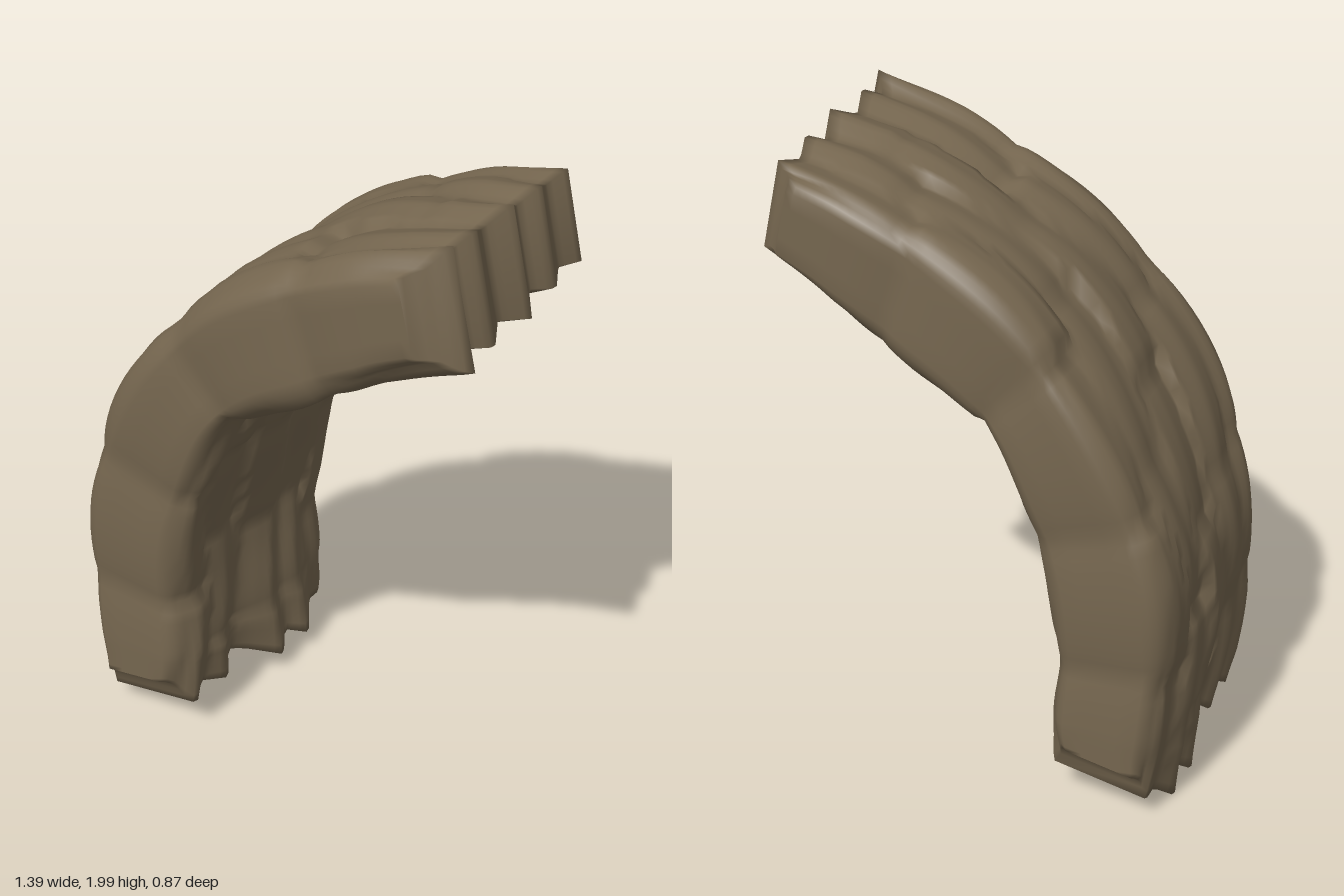
import * as THREE from 'three';

const COURSES = 5, PITCH = 0.18, HALF_Z = 0.434, STEPS = 64;

// small repeatable hash in -1..1
function hash(a, b) {
  const s = Math.sin(a * 127.1 + b * 311.7 + 4.3) * 43758.5453;
  return (s - Math.floor(s)) * 2 - 1;
}
const curve = (pts) => new THREE.CatmullRomCurve3(pts.map(([x, y]) => new THREE.Vector3(x, y, 0)));

// outer and inner edges of the curved slab
const outer = curve([[-0.615, 0.05], [-0.65, 0.3], [-0.668, 0.6], [-0.645, 0.86], [-0.545, 1.14],
  [-0.37, 1.42], [-0.16, 1.645], [0.08, 1.8], [0.33, 1.91], [0.605, 1.985]]);
const inner = curve([[-0.265, 0.11], [-0.268, 0.32], [-0.28, 0.56], [-0.255, 0.78], [-0.18, 1.0],
  [-0.09, 1.2], [0.045, 1.33], [0.22, 1.43], [0.42, 1.55], [0.68, 1.66]]);

// ragged rows of stones at the foot and at the tip: z, projection
const FOOT = [[-0.435, -0.14], [-0.38, -0.03], [-0.31, -0.03], [-0.22, 0.04], [-0.14, -0.01], [-0.07, 0.04],
  [0.05, -0.04], [0.11, -0.07], [0.18, -0.01], [0.28, -0.05], [0.35, -0.01], [0.4, -0.07], [0.435, -0.13]];
const TIP = [[-0.435, -0.11], [-0.36, -0.035], [-0.27, -0.06], [-0.18, -0.02], [-0.1, -0.06], [0, 0],
  [0.1, -0.045], [0.2, 0], [0.28, -0.04], [0.34, 0.02], [0.4, -0.04], [0.435, -0.11]];

function ragged(table, z) {
  for (let i = 1; i < table.length; i++) {
    const [z0, v0] = table[i - 1], [z1, v1] = table[i];
    if (z <= z1) return THREE.MathUtils.lerp(v0, v1, Math.max(0, (z - z0) / (z1 - z0)));
  }
  return table[table.length - 1][1];
}

// rounded cross-section: z, k (-1 inner .. 1 outer), and the outward direction (nz, nk)
function crossSection() {
  const half = [[HALF_Z, 0, 1, 0], [HALF_Z, 0.3, 1, 0]];
  const rz = 0.075, rk = 0.4, flat = HALF_Z - rz;
  for (let i = 0; i <= 5; i++) {
    const a = (i / 5) * Math.PI / 2, c = Math.cos(a), s = Math.sin(a);
    half.push([flat + rz * c, 1 - rk + rk * s, c, s]);
  }
  for (let i = 1; i <= 17; i++) half.push([flat * (1 - i / 17), 1, 0, 1]);
  const mirrored = half.slice(0, -1).reverse().map(([z, k, nz, nk]) => [-z, k, -nz, nk]);
  const top = [...half, ...mirrored];
  const bottom = top.slice(1, -1).reverse().map(([z, k, nz, nk]) => [z, -k, nz, -nk]);
  return [...top, ...bottom];
}

// bulging stones with sunken, staggered joints; ridges run from foot to tip
function relief(u, z, k, nk) {
  const face = k >= 0 ? 1 : 2;
  const mid = Math.min(1, 6 * u * (1 - u));
  const zz = z + 0.03 * mid * Math.sin(u * 15 + face * 2 + z * 4);
  const col = THREE.MathUtils.clamp(Math.round(zz / PITCH), -2, 2);
  const cu = u * COURSES + (Math.abs(col) === 2 ? 0 : 0.4 * hash(col, face));
  const joint = Math.min(u, 1 - u) < 0.08 ? 1 : Math.pow(Math.abs(Math.sin(Math.PI * cu)), 0.6);
  const ridge = Math.max(-0.06, THREE.MathUtils.lerp(ragged(FOOT, zz), ragged(TIP, zz), u));
  const stone = mid * (0.018 * hash(col * 3 + face, Math.floor(cu)) + 0.008);
  return Math.abs(nk) * (ridge * (0.75 - 0.4 * mid) + stone) - 0.02 * (1 - joint);
}

function archGeometry() {
  const loop = crossSection(), L = loop.length, H = L / 2;
  const pos = [], index = [];
  for (let i = 0; i <= STEPS; i++) {
    const u = i / STEPS;
    const o = outer.getPoint(u), n = inner.getPoint(u);
    const centre = o.clone().add(n).multiplyScalar(0.5);
    const arm = o.clone().sub(n).multiplyScalar(0.5);
    const out = arm.clone().normalize();
    const along = new THREE.Vector3(out.y, -out.x, 0);
    const footW = Math.max(0, 1 - u / 0.12), tipW = Math.max(0, 1 - (1 - u) / 0.12);
    for (const [z, k, nz, nk] of loop) {
      const d = relief(u, z, k, nk);
      const p = centre.clone().addScaledVector(arm, k).addScaledVector(out, d * nk);
      p.addScaledVector(along, tipW * ragged(TIP, z) - footW * ragged(FOOT, z));
      pos.push(p.x, p.y, z + d * nz);
    }
  }
  for (let i = 0; i < STEPS; i++) {
    for (let j = 0; j < L; j++) {
      const a = i * L + j, b = i * L + (j + 1) % L, c = a + L, d = b + L;
      index.push(a, c, b, b, c, d);
    }
  }
  // end faces blend smoothly into the sides
  for (const end of [0, 1]) {
    const base = end * STEPS * L;
    for (let j = 0; j < H; j++) {
      const p = base + j, q = base + j + 1, r = base + (L - j) % L, s = base + L - j - 1;
      const tris = [];
      if (j > 0) tris.push([p, q, r]);
      if (j < H - 1) tris.push([r, q, s]);
      for (const [x, y, w] of tris) index.push(...(end ? [x, w, y] : [x, y, w]));
    }
  }
  const g = new THREE.BufferGeometry();
  g.setAttribute('position', new THREE.Float32BufferAttribute(pos, 3));
  g.setIndex(index);
  g.computeVertexNormals();
  return g;
}

export function createModel() {
  const group = new THREE.Group();
  group.name = 'rockArch';
  const stone = new THREE.MeshStandardMaterial({ color: 0x75664f });
  stone.name = 'brown stone';
  const arch = new THREE.Mesh(archGeometry(), stone);
  arch.name = 'curvedStoneSlab';
  group.add(arch);
  return group;
}
